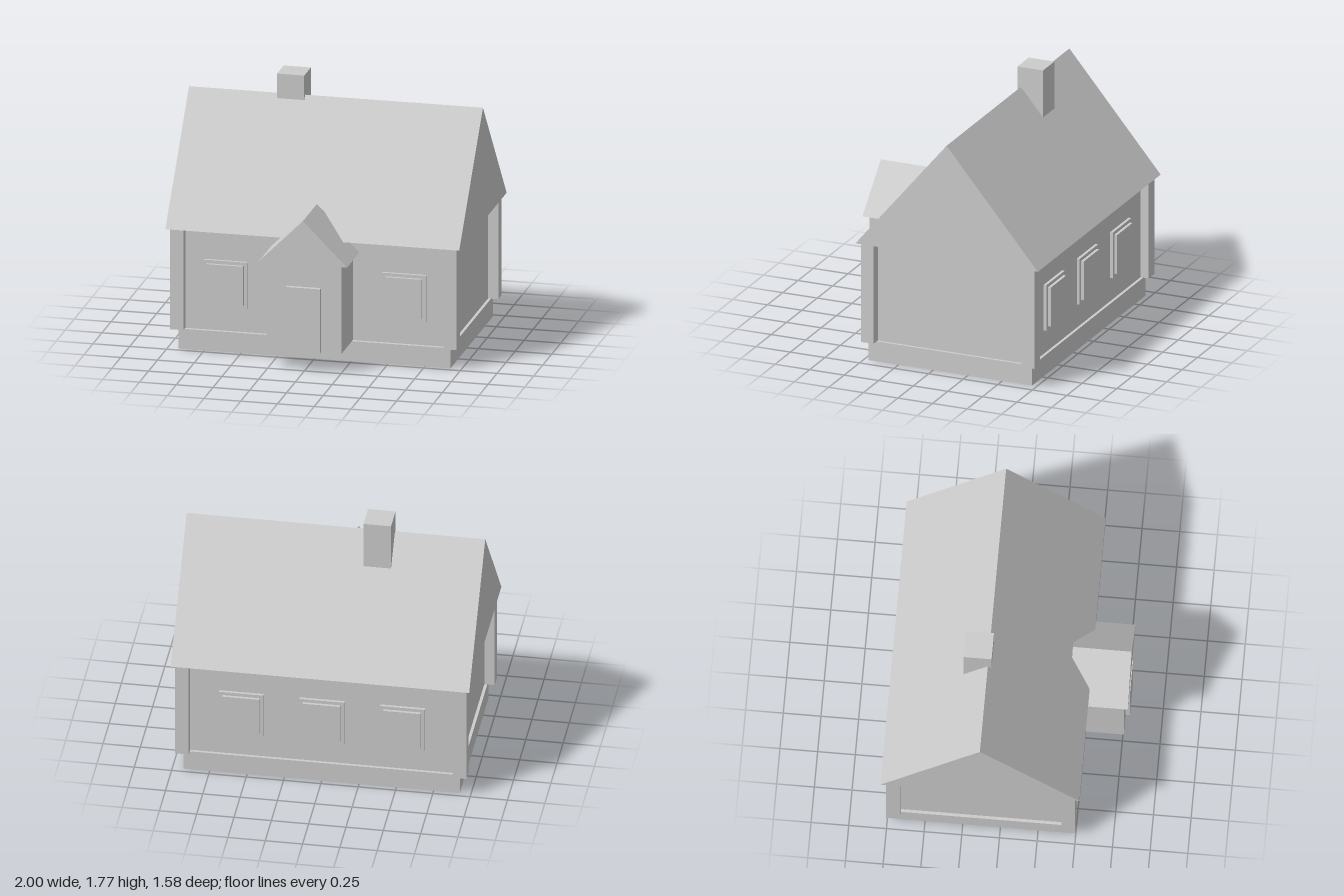
import * as THREE from 'three';

export function createModel() {
  const house = new THREE.Group();
  house.name = 'cottage';
  const plainGray = new THREE.MeshStandardMaterial({ color: 0xcccccc });
  plainGray.name = 'plainGray';

  const add = (name, geometry) => {
    const mesh = new THREE.Mesh(geometry, plainGray);
    mesh.name = name;
    house.add(mesh);
    return mesh;
  };

  // Box given by its limits on each axis
  const box = (name, x0, x1, y0, y1, z0, z1) => {
    const g = new THREE.BoxGeometry(x1 - x0, y1 - y0, z1 - z0);
    g.translate((x0 + x1) / 2, (y0 + y1) / 2, (z0 + z1) / 2);
    return add(name, g);
  };

  // Triangular prism extruded along z, centred on x = 0 at its base
  const gable = (halfWidth, height, length) => {
    const s = new THREE.Shape();
    s.moveTo(-halfWidth, 0);
    s.lineTo(halfWidth, 0);
    s.lineTo(0, height);
    s.closePath();
    return new THREE.ExtrudeGeometry(s, { depth: length, bevelEnabled: false });
  };

  // Foundation and walls
  box('foundation', -0.925, 0.925, 0, 0.14, -0.715, 0.47);
  box('walls', -0.905, 0.905, 0.14, 0.84, -0.695, 0.445);

  // Corner posts
  for (const side of [-1, 1]) {
    const x0 = side < 0 ? -0.975 : 0.885;
    box('frontPost', x0, x0 + 0.09, 0.14, 0.84, 0.41, 0.5);
    box('backPost', x0, x0 + 0.09, 0.14, 0.84, -0.755, -0.66);
  }

  // Main roof, ridge along x
  const roof = gable(0.66, 0.79, 2);
  roof.rotateY(Math.PI / 2);
  roof.translate(-1, 0.84, -0.13);
  add('mainRoof', roof);

  // Chimney
  box('chimney', -0.395, -0.21, 1.3, 1.77, -0.29, -0.105);

  // Entrance porch with its own gable roof and door
  box('porch', -0.255, 0.255, 0.14, 0.75, 0.42, 0.76);
  const porchRoof = gable(0.3, 0.3, 0.39);
  porchRoof.translate(0, 0.75, 0.4);
  add('porchRoof', porchRoof);
  box('door', -0.115, 0.115, 0.14, 0.585, 0.75, 0.79);

  // Windows: a frame with a raised pane; dir is +1 on the front, -1 on the back
  const makeWindow = (x, wallZ, dir) => {
    const layer = (name, w, y0, y1, out) => {
      const zs = [wallZ - dir * 0.01, wallZ + dir * out].sort((a, b) => a - b);
      box(name, x - w / 2, x + w / 2, y0, y1, zs[0], zs[1]);
    };
    layer('windowFrame', 0.3, 0.305, 0.628, 0.02);
    layer('windowPane', 0.25, 0.33, 0.605, 0.04);
  };
  for (const x of [-0.607, 0.607]) makeWindow(x, 0.445, 1);
  for (const x of [-0.54, 0, 0.54]) makeWindow(x, -0.695, -1);

  return house;
}
